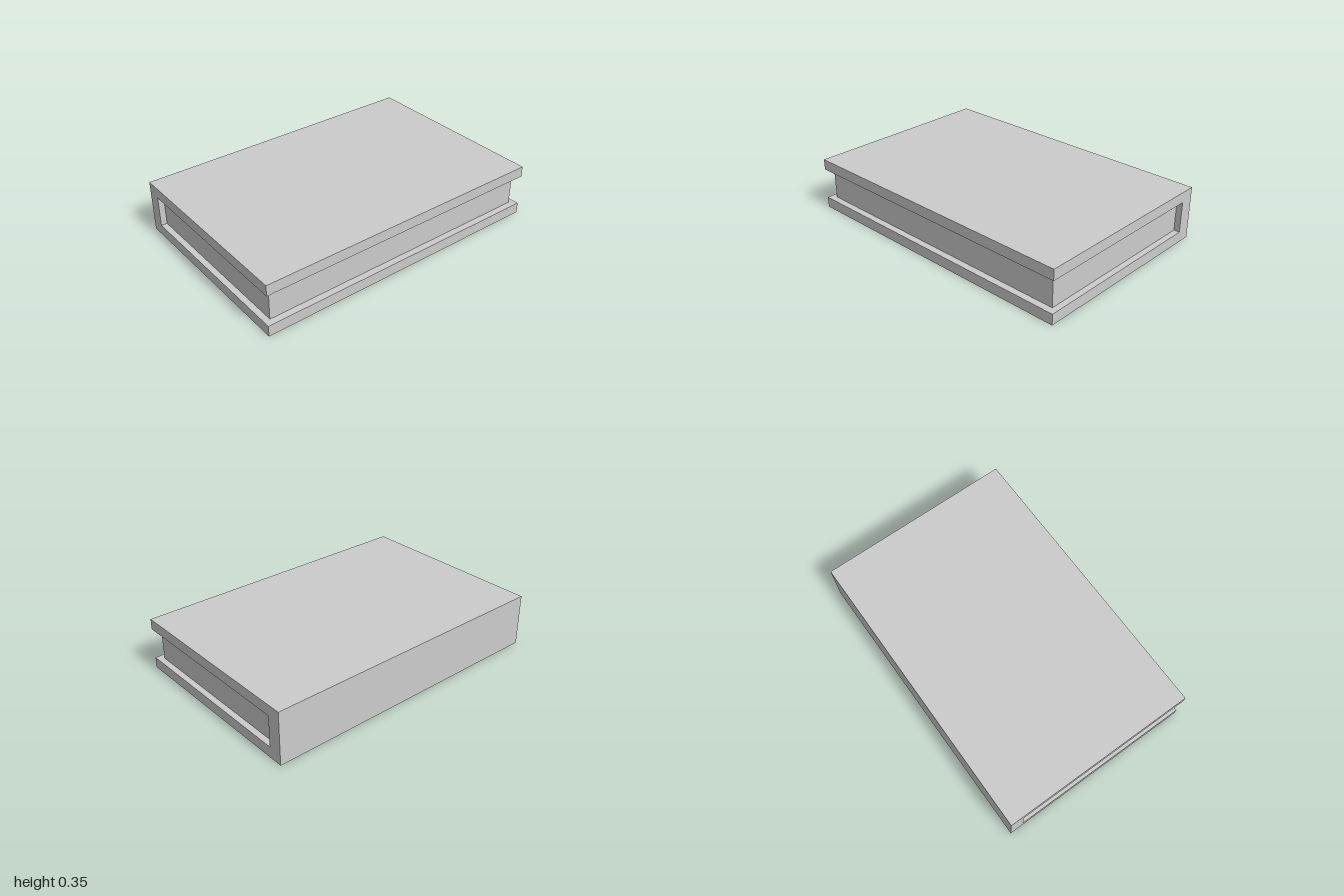
import * as THREE from 'three';

const W = 0.66;          // half width of the cover
const H = 0.352;         // total height
const BOARD = 0.072;     // cover board thickness
const SPINE_IN = -0.567; // inner face of the spine
const PAGE_EDGE = 0.615; // fore edge of the pages
const PAGE_HALF = 0.96;  // half length of the pages

export function createModel() {
  const group = new THREE.Group();
  group.name = 'book';
  const material = new THREE.MeshStandardMaterial({ color: 0xcccccc, flatShading: true });

  // Cover: C-shaped section (spine plus two boards) extruded along the length
  const section = new THREE.Shape([
    [-W, 0], [W, 0], [W, BOARD], [SPINE_IN, BOARD],
    [SPINE_IN, H - BOARD], [W, H - BOARD], [W, H], [-W, H],
  ].map(([x, y]) => new THREE.Vector2(x, y)));
  const coverGeometry = new THREE.ExtrudeGeometry(section, { depth: 2, bevelEnabled: false });
  coverGeometry.translate(0, 0, -1);
  const cover = new THREE.Mesh(coverGeometry, material);
  cover.name = 'cover';
  group.add(cover);

  // Page block, set back from the boards on its three open sides
  const pages = new THREE.Mesh(
    new THREE.BoxGeometry(PAGE_EDGE - SPINE_IN, H - 2 * BOARD, 2 * PAGE_HALF), material);
  pages.name = 'pages';
  pages.position.set((PAGE_EDGE + SPINE_IN) / 2, H / 2, 0);
  group.add(pages);

  return group;
}
